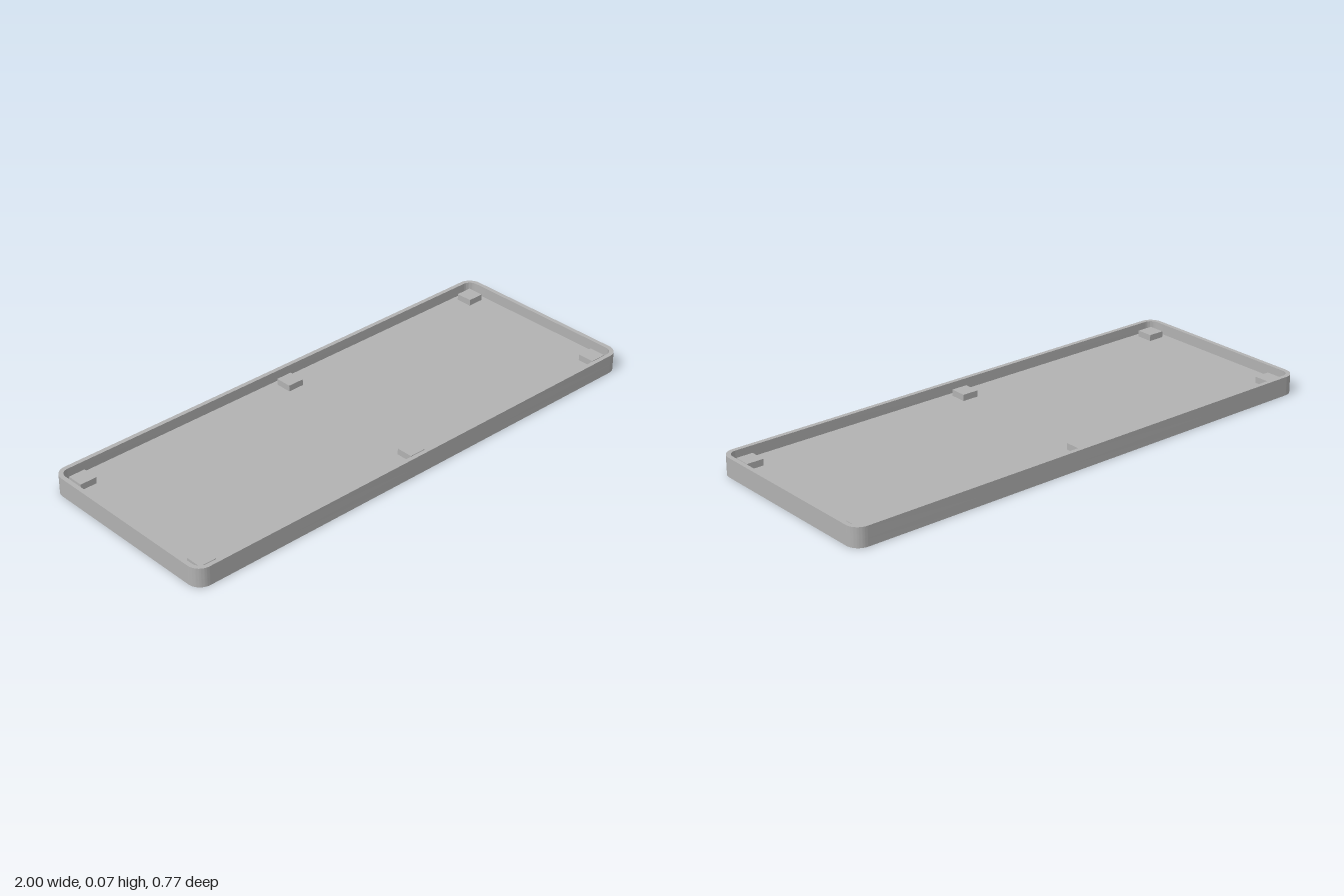
import * as THREE from 'three';
import { toCreasedNormals } from 'three/addons/utils/BufferGeometryUtils.js';

const HEIGHT = 0.073, FLOOR = 0.032, WALL = 0.017, RADIUS = 0.05;
const HALF_X = 1, HALF_Z = 0.383;

// Rounded rectangle outline, inset from the outer edge of the tray
function outline(inset, Type = THREE.Shape) {
  const x = HALF_X - inset, y = HALF_Z - inset, r = RADIUS - inset;
  const s = new Type();
  s.moveTo(-x + r, -y);
  s.lineTo(x - r, -y);
  s.absarc(x - r, -y + r, r, -Math.PI / 2, 0);
  s.lineTo(x, y - r);
  s.absarc(x - r, y - r, r, 0, Math.PI / 2);
  s.lineTo(-x + r, y);
  s.absarc(-x + r, y - r, r, Math.PI / 2, Math.PI);
  s.lineTo(-x, -y + r);
  s.absarc(-x + r, -y + r, r, Math.PI, Math.PI * 1.5);
  return s;
}

// Upright slab between two heights with smooth rounded corners
function slab(shape, y0, y1) {
  const g = new THREE.ExtrudeGeometry(shape, { depth: y1 - y0, bevelEnabled: false, curveSegments: 12 });
  g.rotateX(-Math.PI / 2);
  g.translate(0, y0, 0);
  return toCreasedNormals(g, 0.6);
}

export function createModel() {
  const model = new THREE.Group();
  model.name = 'tray';
  const grey = new THREE.MeshStandardMaterial({ color: 0xb2b2b2 });
  grey.name = 'grey';

  const add = (name, geometry) => {
    const mesh = new THREE.Mesh(geometry, grey);
    mesh.name = name;
    model.add(mesh);
    return mesh;
  };

  // Base plate
  add('floor', slab(outline(0), 0, FLOOR));

  // Thin wall around the edge
  const ring = outline(0);
  ring.holes.push(outline(WALL, THREE.Path));
  add('wall', slab(ring, FLOOR, HEIGHT));

  // Six square support blocks along the long sides
  const blockHeight = 0.024;
  const block = new THREE.BoxGeometry(0.065, blockHeight, 0.065);
  for (const x of [-0.928, 0, 0.928]) {
    for (const z of [-0.313, 0.313]) {
      add('supportBlock', block).position.set(x, FLOOR + blockHeight / 2, z);
    }
  }
  return model;
}
